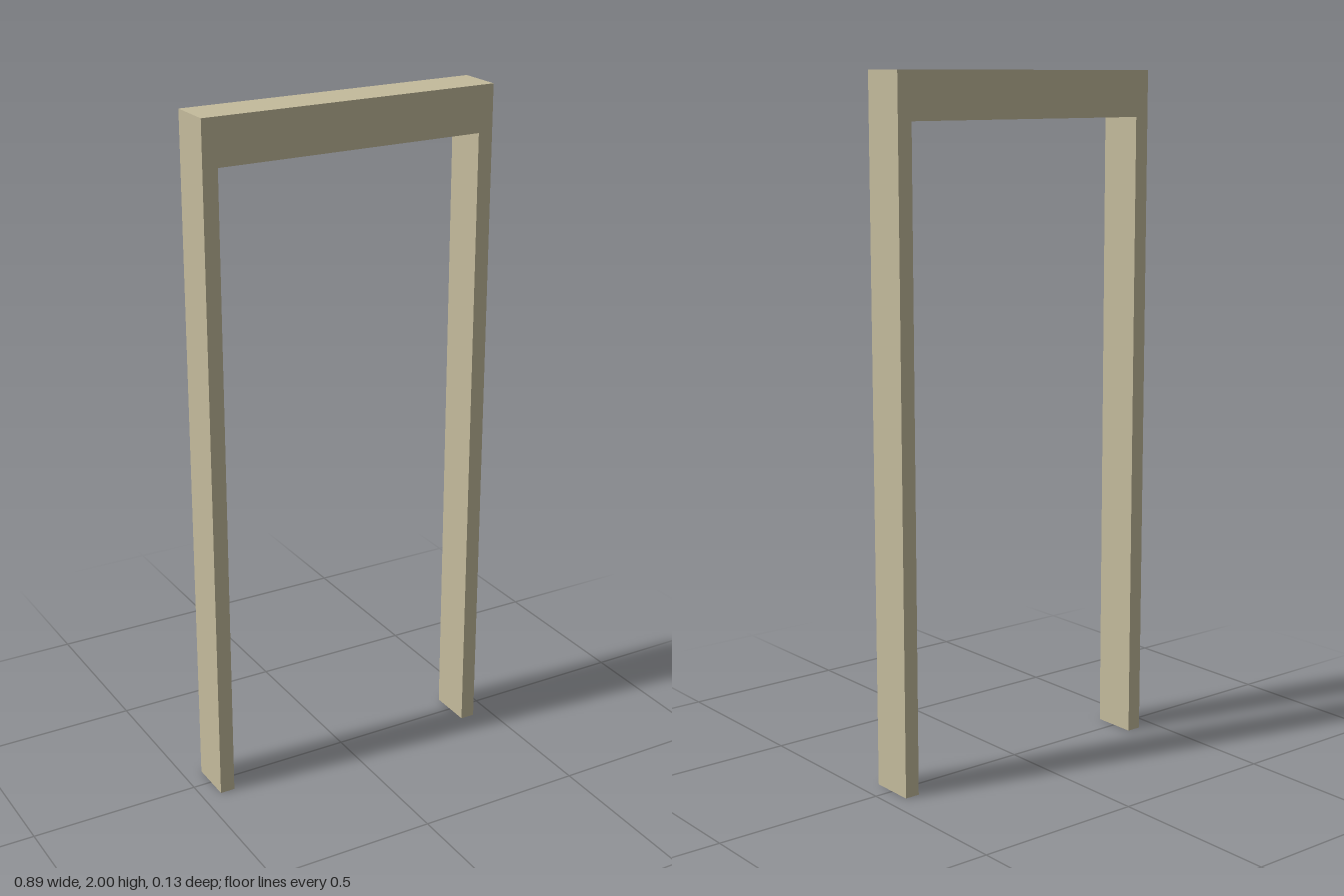
import * as THREE from 'three';

const HALF_WIDTH = 0.444, HEIGHT = 2, DEPTH = 0.133;
const POST = 0.044, LINTEL_BOTTOM = 1.867;

export function createModel() {
  const model = new THREE.Group();
  model.name = 'doorway';

  // Two posts and the lintel as one continuous outline, open at the floor
  const inner = HALF_WIDTH - POST;
  const outline = new THREE.Shape([
    [-HALF_WIDTH, 0], [-inner, 0], [-inner, LINTEL_BOTTOM], [inner, LINTEL_BOTTOM],
    [inner, 0], [HALF_WIDTH, 0], [HALF_WIDTH, HEIGHT], [-HALF_WIDTH, HEIGHT],
  ].map(([x, y]) => new THREE.Vector2(x, y)));

  const geometry = new THREE.ExtrudeGeometry(outline, { depth: DEPTH, bevelEnabled: false });
  geometry.translate(0, 0, -DEPTH / 2);

  const frame = new THREE.Mesh(geometry, new THREE.MeshStandardMaterial({ color: 0xc4bb9c }));
  frame.name = 'doorFrame';
  model.add(frame);
  return model;
}
